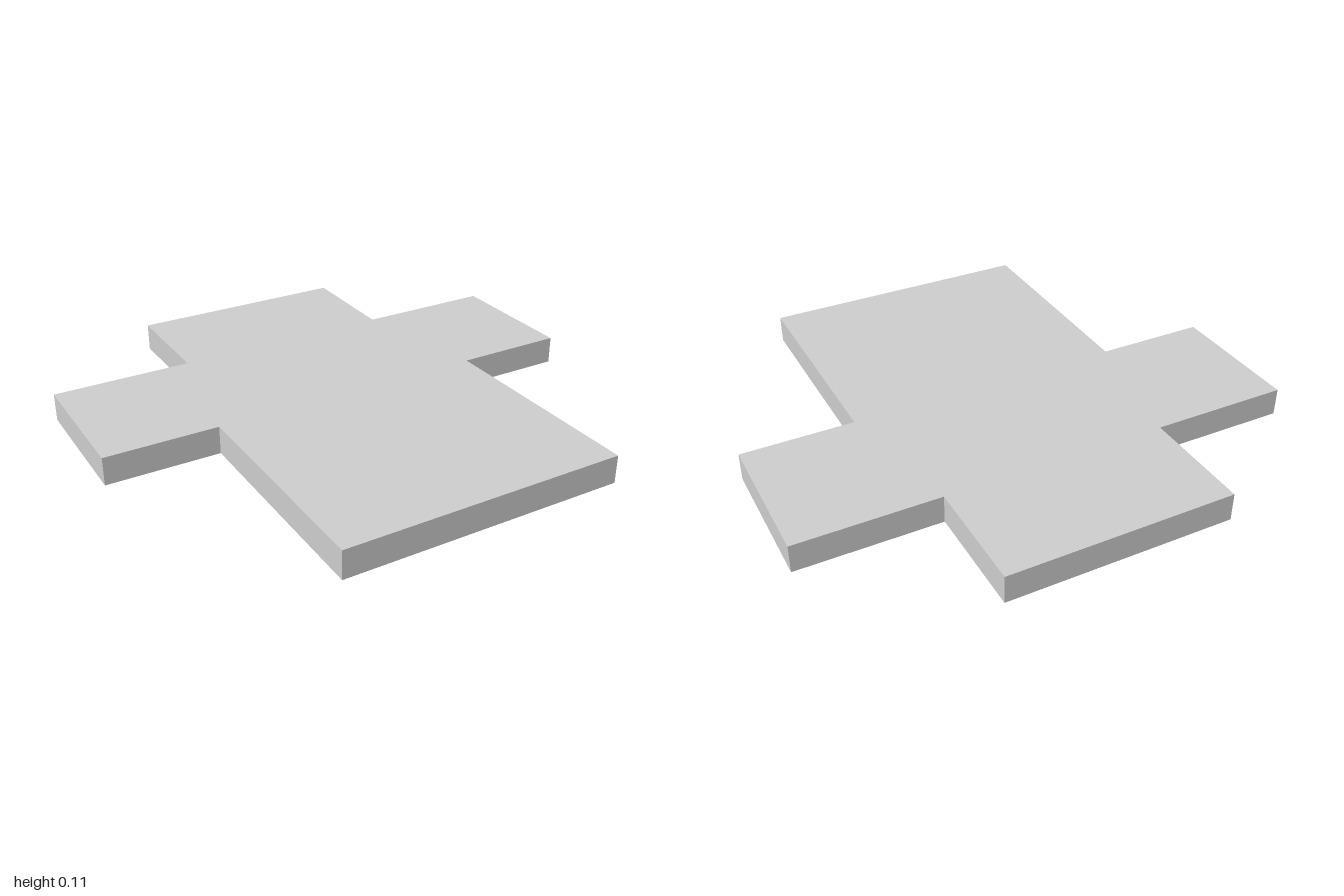
import * as THREE from 'three';

// All sizes are whole multiples of 1/18
const U = 1 / 18;

export function createModel() {
  const group = new THREE.Group();
  group.name = 'crossPlate';

  // Right half of the outline as [x, -z], from front to back; mirrored for the left half
  const half = [[10, -17], [10, -1], [18, -1], [18, 9], [8, 9], [8, 17]];
  const mirrored = half.map(([x, y]) => [-x, y]).reverse();
  const outline = [...half, ...mirrored].map(([x, y]) => new THREE.Vector2(x * U, y * U));

  // Flat slab lying on the ground
  const geometry = new THREE.ExtrudeGeometry(new THREE.Shape(outline), {
    depth: 2 * U,
    bevelEnabled: false,
  });
  geometry.rotateX(-Math.PI / 2);

  const plate = new THREE.Mesh(
    geometry,
    new THREE.MeshStandardMaterial({ color: 0xcccccc, flatShading: true })
  );
  plate.name = 'plate';
  group.add(plate);
  return group;
}
